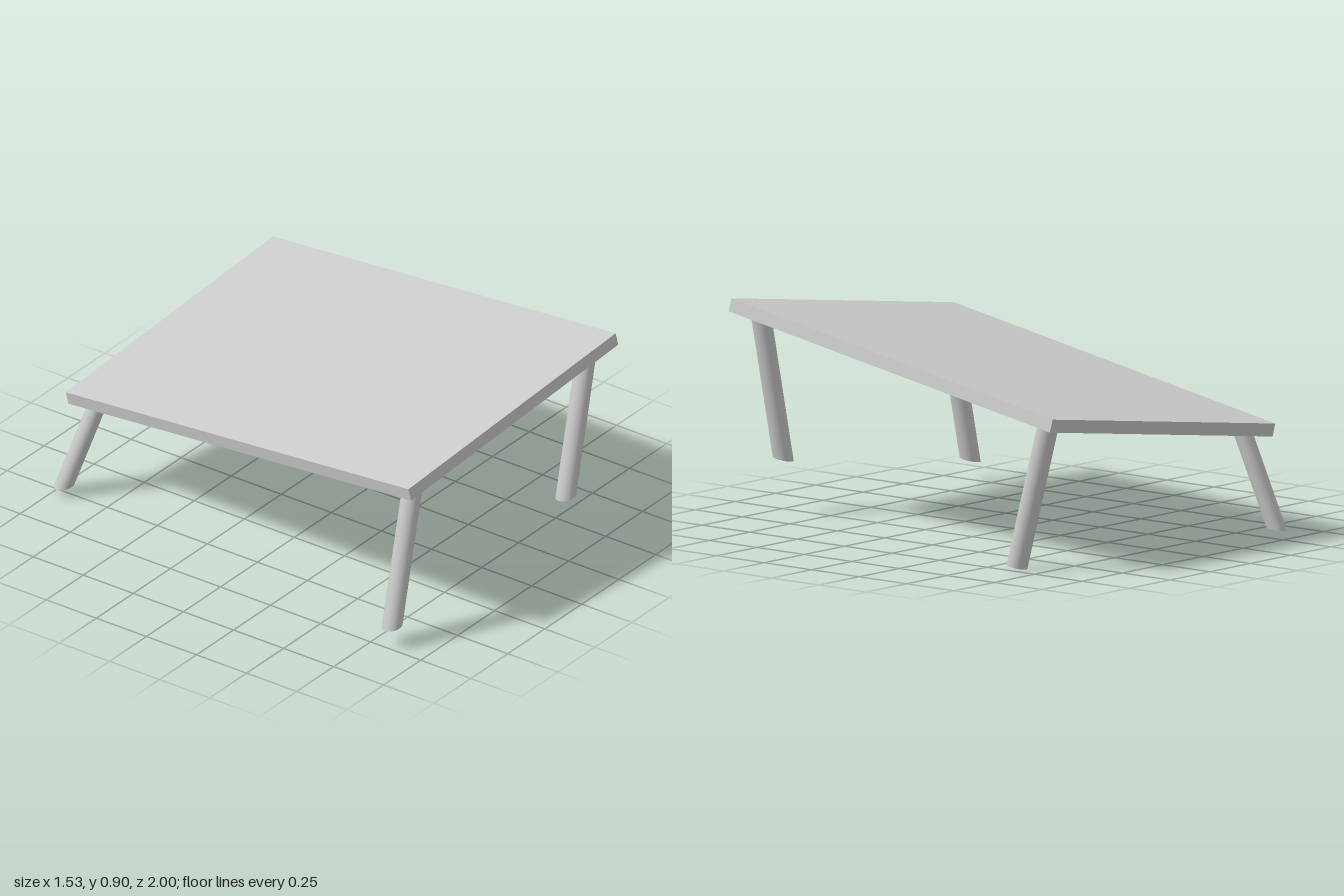
import * as THREE from 'three';

export function createModel() {
  const group = new THREE.Group();
  group.name = 'tiltedTable';
  const material = new THREE.MeshStandardMaterial({ color: 0xcccccc });

  // Axes of the tilted table: across, normal to the top, towards the front
  const across = new THREE.Vector3(1.265, 0.175, 0.1).normalize();
  const up = new THREE.Vector3(-0.297, 2.352, -0.36).normalize();
  const front = new THREE.Vector3().crossVectors(across, up).normalize();
  up.crossVectors(front, across);

  const add = (name, geometry, yAxis, centre) => {
    geometry.applyMatrix4(new THREE.Matrix4().makeBasis(across, yAxis, front).setPosition(centre));
    const mesh = new THREE.Mesh(geometry, material);
    mesh.name = name;
    group.add(mesh);
  };

  // Table top slab
  add('tableTop', new THREE.BoxGeometry(1.281, 0.054, 1.872), up, new THREE.Vector3(0.036, 0.66, 0.0265));

  // Splayed legs: sheared cylinders whose ends stay parallel to the top
  const legs = {
    frontRightLeg: [[-0.72, 0.09, 0.835], [-0.593, 0.681, 0.843]],
    frontLeftLeg: [[0.35, 0.228, 0.912], [0.48, 0.828, 0.918]],
    backLeftLeg: [[0.703, 0.01, -0.617], [0.683, 0.596, -0.763]],
    backRightLeg: [[-0.51, 0.04, -0.957], [-0.437, 0.443, -0.835]],
  };
  for (const [name, [foot, head]] of Object.entries(legs)) {
    const a = new THREE.Vector3(...foot);
    const b = new THREE.Vector3(...head);
    const axis = b.clone().sub(a);
    add(name, new THREE.CylinderGeometry(0.043, 0.043, 1, 32), axis, a.add(b).multiplyScalar(0.5));
  }
  return group;
}
